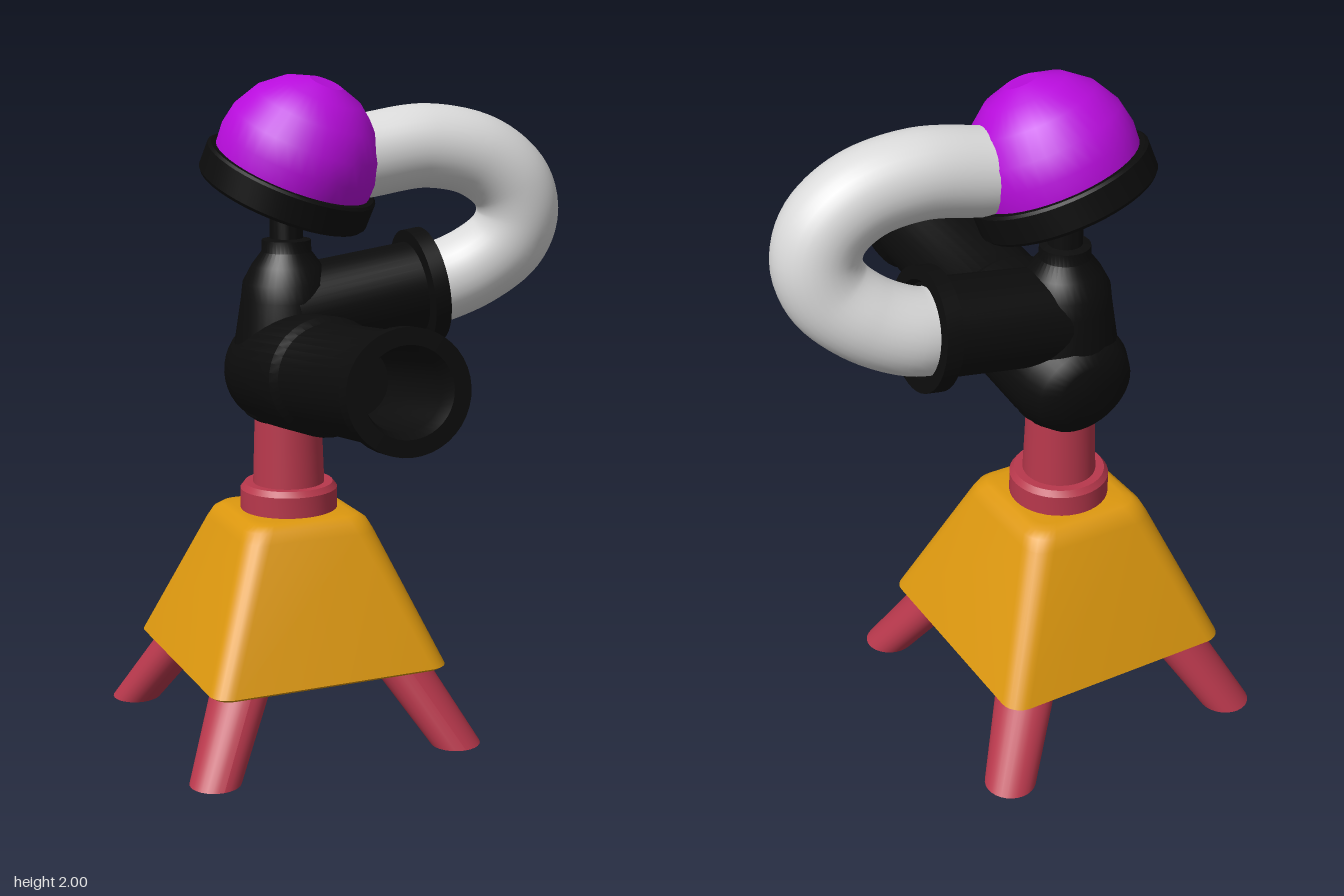
import * as THREE from 'three';
import { toCreasedNormals } from 'three/addons/utils/BufferGeometryUtils.js';
import { RoundedBoxGeometry } from 'three/addons/geometries/RoundedBoxGeometry.js';

const UP = new THREE.Vector3(0, 1, 0);
const CX = -0.185, CZ = -0.225;

const mat = (name, color) => Object.assign(new THREE.MeshStandardMaterial({ color }), { name });

function mesh(name, geometry, material, parent) {
  const m = new THREE.Mesh(geometry, material);
  m.name = name;
  parent.add(m);
  return m;
}

// Turned part: [radius, height] pairs, bottom to top
function turned(points, segments = 40, crease = 0.6) {
  const g = new THREE.LatheGeometry(points.map(([r, y]) => new THREE.Vector2(r, y)), segments);
  return toCreasedNormals(g, crease);
}

// Group whose local y runs along a direction
function axisGroup(name, origin, dir, parent) {
  const g = new THREE.Group();
  g.name = name;
  g.position.set(...origin);
  g.quaternion.setFromUnitVectors(UP, new THREE.Vector3(...dir).normalize());
  parent.add(g);
  return g;
}

// Tapered block from rounded-square sections [y, half width, corner radius]
function roundedFrustum(sections) {
  const steps = 6, ring = 4 * (steps + 1), pos = [], index = [];
  for (const [y, half, r] of sections) {
    for (let c = 0; c < 4; c++) {
      for (let i = 0; i <= steps; i++) {
        const a = (c + i / steps) * Math.PI / 2;
        const sx = c === 0 || c === 3 ? 1 : -1, sz = c < 2 ? 1 : -1;
        pos.push(sx * (half - r) + r * Math.cos(a), y, sz * (half - r) + r * Math.sin(a));
      }
    }
  }
  for (let s = 0; s < sections.length - 1; s++) {
    for (let i = 0; i < ring; i++) {
      const a = s * ring + i, b = s * ring + (i + 1) % ring;
      index.push(a, a + ring, b, b, a + ring, b + ring);
    }
  }
  const g = new THREE.BufferGeometry();
  g.setAttribute('position', new THREE.Float32BufferAttribute(pos, 3));
  g.setIndex(index);
  return toCreasedNormals(g, 0.6);
}

export function createModel() {
  const model = new THREE.Group();
  model.name = 'tripodDevice';
  const red = mat('red', 0xb8384c);
  const amber = mat('amber', 0xdd980f);
  const black = mat('black', 0x0c0c0c);
  const white = mat('white', 0xdadada);
  const purple = mat('purple', 0xb80cdc);
  const cyan = mat('cyan', 0x30ccd8);

  // Splayed legs, sheared so the feet lie flat on the ground
  for (const sx of [-1, 1]) {
    for (const sz of [-1, 1]) {
      const g = new THREE.CylinderGeometry(0.095, 0.076, 0.34, 28);
      g.translate(0, 0.17, 0);
      const p = g.attributes.position;
      for (let i = 0; i < p.count; i++) {
        const off = 0.386 - 0.56 * p.getY(i);
        p.setX(i, p.getX(i) + sx * off);
        p.setZ(i, p.getZ(i) + sz * off);
      }
      g.computeVertexNormals();
      mesh('leg', g, red, model).position.set(CX, 0, CZ);
    }
  }

  // Base
  mesh('base', roundedFrustum([
    [0.23, 0.001, 0.0005], [0.23, 0.362, 0.05], [0.24, 0.376, 0.06], [0.64, 0.213, 0.07],
    [0.672, 0.197, 0.07], [0.688, 0.175, 0.06], [0.692, 0.15, 0.05], [0.692, 0.001, 0.0005],
  ]), amber, model).position.set(CX, 0, CZ);

  // Collar and column
  mesh('column', turned([
    [0, 0.68], [0.148, 0.68], [0.148, 0.755], [0.135, 0.772], [0.109, 0.772], [0.099, 1.05], [0, 1.05],
  ]), red, model).position.set(CX, 0, CZ);

  // Upright hub tapering to the neck
  mesh('hub', turned([
    [0, 0.95], [0.08, 0.955], [0.13, 0.99], [0.155, 1.06], [0.16, 1.2], [0.138, 1.34], [0.132, 1.39],
    [0.105, 1.44], [0.075, 1.48], [0.073, 1.515], [0.05, 1.52], [0.048, 1.7], [0, 1.7],
  ]), black, model).position.set(CX, 0, CZ);

  // Hollow front barrel with rounded back
  const barrel = axisGroup('barrel', [CX, 1.12, CZ], [0, 0.12, 1], model);
  mesh('barrelTube', turned([
    [0, -0.168], [0.1, -0.162], [0.145, -0.13], [0.168, -0.075], [0.175, 0], [0.175, 0.33], [0.158, 0.355],
    [0.156, 0.83], [0.172, 0.838], [0.172, 0.885], [0.125, 0.885], [0.11, 0.84], [0.105, 0.5], [0, 0.5],
  ]), black, barrel).scale.x = 1.05;

  // Button plate on the left of the barrel
  const panel = new THREE.Group();
  panel.name = 'buttonPanel';
  panel.position.set(0.163, 0.435, 0);
  barrel.add(panel);
  mesh('plate', new RoundedBoxGeometry(0.028, 0.145, 0.105, 3, 0.013), amber, panel);
  const round = mesh('roundButton', new THREE.SphereGeometry(1, 20, 12), cyan, panel);
  round.position.set(0.013, 0.033, 0);
  round.scale.set(0.009, 0.025, 0.025);
  const long = mesh('longButton', new RoundedBoxGeometry(0.018, 0.04, 0.072, 3, 0.008), cyan, panel);
  long.position.set(0.012, -0.028, 0);

  // Side branch with flange
  const side = axisGroup('sideBranch', [CX, 1.29, -0.22], [0.46, 0.065, 0.02], model);
  mesh('branchTube', turned([
    [0, 0], [0.142, 0], [0.142, 0.405], [0.178, 0.41], [0.178, 0.46], [0.14, 0.46], [0.13, 0.44], [0, 0.44],
  ]), black, side);

  // Bent hose from the branch to the dome
  const path = new THREE.CatmullRomCurve3([
    [0.2, 1.34, -0.205], [0.29, 1.355, -0.2], [0.41, 1.41, -0.16], [0.495, 1.49, -0.115],
    [0.52, 1.58, -0.095], [0.49, 1.67, -0.092], [0.39, 1.75, -0.105], [0.23, 1.785, -0.13],
    [0.05, 1.762, -0.153], [-0.1, 1.735, -0.17],
  ].map((p) => new THREE.Vector3(...p)));
  mesh('hose', new THREE.TubeGeometry(path, 64, 0.125, 32), white, model);

  // Tilted dome on a round rim
  const head = axisGroup('head', [-0.165, 1.76, -0.18], [0.3, 1, 0.3], model);
  mesh('rim', turned([[0, -0.13], [0.255, -0.13], [0.263, -0.12], [0.263, -0.045], [0.255, -0.038], [0, -0.038]], 48),
    black, head);
  const R = 0.243;
  const arc = [-10, 4, 20, 40, 60, 78].map((d) => {
    const a = THREE.MathUtils.degToRad(d);
    return new THREE.Vector2(R * Math.cos(a), R * Math.sin(a));
  });
  mesh('dome', new THREE.LatheGeometry(arc, 40), purple, head);
  const cap = mesh('domeCap', new THREE.CircleGeometry(arc[5].x, 40), purple, head);
  cap.rotation.x = -Math.PI / 2;
  cap.position.y = arc[5].y;

  return model;
}
